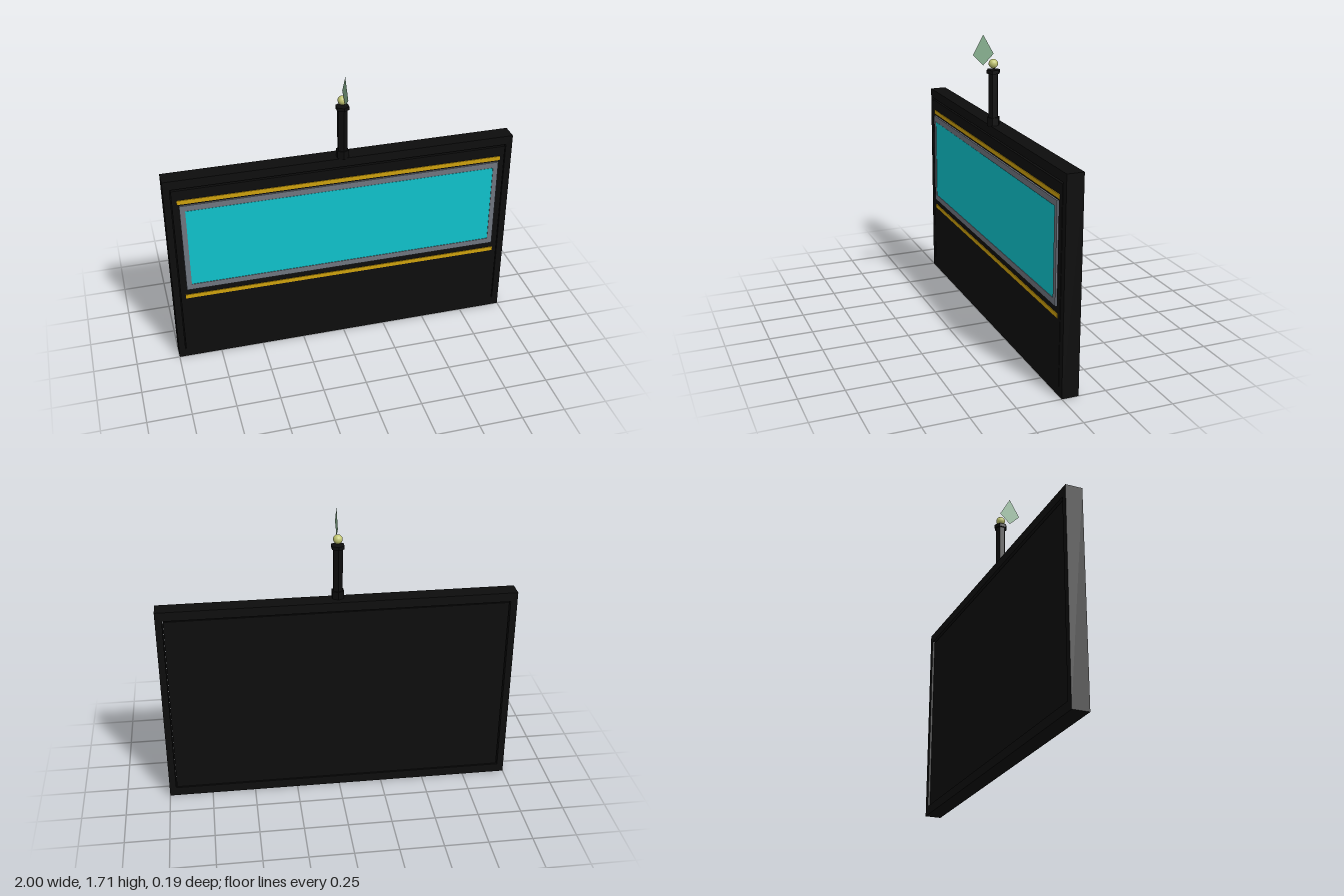
import * as THREE from 'three';

const mat = (name, color) => new THREE.MeshStandardMaterial({ name, color });

export function createModel() {
  const group = new THREE.Group();
  const black = mat('black', 0x0d0d0d);
  const grey = mat('slate grey', 0x707680);
  const cyan = mat('screen cyan', 0x0fc4cd);
  const gold = mat('gold', 0xd0a20c);
  const pale = mat('pale gold', 0xc2c672);
  const green = mat('leaf green', 0x88b090);
  green.side = THREE.DoubleSide;

  const add = (name, geometry, material, x, y, z) => {
    const mesh = new THREE.Mesh(geometry, material);
    mesh.name = name;
    mesh.position.set(x, y, z);
    group.add(mesh);
    return mesh;
  };
  // Rectangular ring standing on the xy plane, extruded towards +z
  const ring = (w, h, iw, ih, depth) => {
    const rect = (Type, a, b) => new Type([[-a, -b], [a, -b], [a, b], [-a, b]]
      .map(([x, y]) => new THREE.Vector2(x / 2, y / 2)));
    const shape = rect(THREE.Shape, w, h);
    shape.holes.push(rect(THREE.Path, iw, ih));
    return new THREE.ExtrudeGeometry(shape, { depth, bevelEnabled: false });
  };

  // Board: outer frame and inner panel with a hairline gap between them
  add('outerFrame', ring(2, 1.2, 1.924, 1.094, 0.095), black, 0, 0.6, -0.095);
  add('innerPanel', new THREE.BoxGeometry(1.914, 1.084, 0.085), black, 0, 0.595, -0.0425);

  // Screen with its bezel
  add('screenBezel', ring(1.84, 0.56, 1.78, 0.49, 0.01), grey, 0, 0.763, 0);
  add('screen', new THREE.BoxGeometry(1.78, 0.49, 0.007), cyan, 0, 0.76, 0.0035);

  // Trim strips above and below the screen
  for (const y of [1.064, 0.433])
    add('trimStrip', new THREE.BoxGeometry(1.86, 0.025, 0.004), gold, 0, y, 0.002);

  // Hexagonal mast: base, shaft and cap
  for (const [name, r, y0, y1] of [
    ['mastBase', 0.037, 1.195, 1.245],
    ['mastShaft', 0.029, 1.24, 1.495],
    ['mastCap', 0.039, 1.492, 1.512],
  ]) {
    const geometry = new THREE.CylinderGeometry(r, r, y1 - y0, 6).toNonIndexed();
    geometry.computeVertexNormals();
    add(name, geometry, black, 0, (y0 + y1) / 2, -0.025);
  }
  add('finialBall', new THREE.SphereGeometry(0.026, 16, 12), pale, 0, 1.545, -0.025);

  // Flat kite-shaped vane, lying in the yz plane
  const kite = new THREE.Shape([[0, -0.06], [0.061, 0], [0, 0.108], [-0.061, 0]]
    .map(([x, y]) => new THREE.Vector2(x, y)));
  add('vane', new THREE.ShapeGeometry(kite), green, 0, 1.6, 0.034).rotation.y = Math.PI / 2;

  return group;
}
